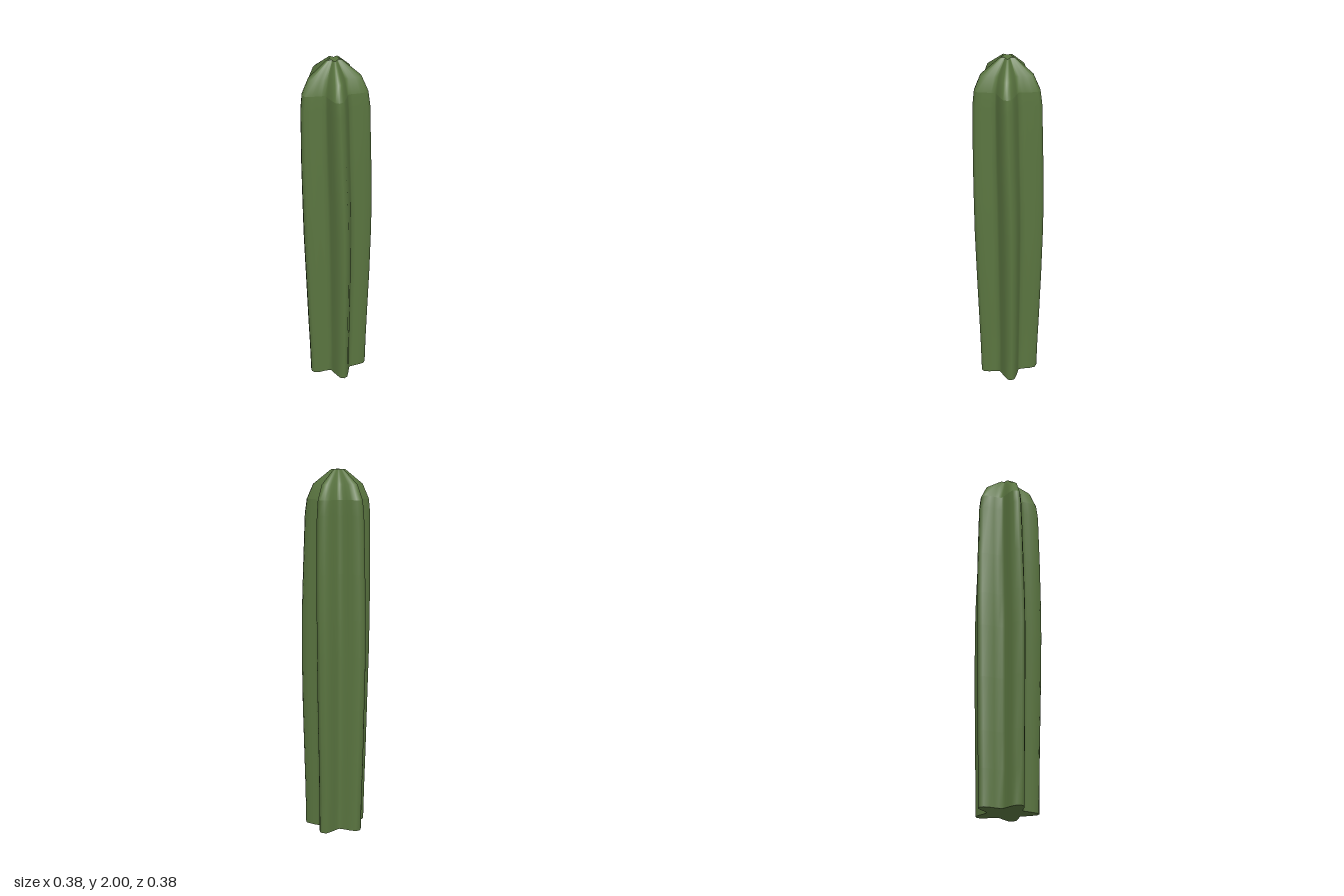
import * as THREE from 'three';

// One rib of the five-ribbed section: [degrees from the rib tip, radius]
const RIB = [[-27, 0.122], [-20, 0.139], [-14, 0.16], [-7, 0.187], [0, 0.195],
  [7, 0.187], [14, 0.16], [20, 0.139], [27, 0.122], [36, 0.11]];
const RIB_LENGTH = [1, 1.04, 1.05, 1.05, 1];

// Rings up the stem: [y, scale, twist in degrees, centre x, centre z]
const STEM = [
  [0, 0.88, -7, 0.002, -0.004], [0.2, 0.9, -7, 0.001, -0.004],
  [0.4, 0.93, -7, 0, -0.004], [0.7, 0.97, -7.5, 0, -0.003],
  [1, 1, -8, -0.002, -0.002], [1.2, 1, -9, -0.003, -0.002],
  [1.45, 0.98, -11, -0.006, -0.001], [1.76, 0.94, -13, -0.009, 0],
  [1.84, 0.89, -13.5, -0.01, 0],
];
const CROWN = [STEM[STEM.length - 1],
  [1.92, 0.71, -14, -0.01, 0], [2, 0.19, -15, -0.011, -0.006]];

// Points of one star-shaped ring, anticlockwise seen from above
function ringPoints([y, scale, twist, cx, cz]) {
  const points = [];
  for (let arm = 0; arm < 5; arm++) {
    for (const [offset, radius] of RIB) {
      const a = THREE.MathUtils.degToRad(arm * 72 + twist + offset);
      const stretch = Math.abs(offset) < 18 ? RIB_LENGTH[arm] : 1.02;
      const r = radius * scale * stretch;
      points.push(new THREE.Vector3(cx + Math.cos(a) * r, y, cz - Math.sin(a) * r));
    }
  }
  return points;
}

function makeGeometry(points, index) {
  const geometry = new THREE.BufferGeometry().setFromPoints(points);
  geometry.setIndex(index);
  geometry.computeVertexNormals();
  return geometry;
}

// Smooth skin through a stack of rings
function loft(rings) {
  const n = RIB.length * 5;
  const index = [];
  for (let k = 0; k < rings.length - 1; k++) {
    for (let i = 0; i < n; i++) {
      const a = k * n + i, b = k * n + (i + 1) % n;
      index.push(a, b, b + n, a, b + n, a + n);
    }
  }
  return makeGeometry(rings.flatMap(ringPoints), index);
}

// Flat star closing a ring, facing up or down
function starFace(ring, up) {
  const n = RIB.length * 5;
  const points = [...ringPoints(ring), new THREE.Vector3(ring[3], ring[0], ring[4])];
  const index = [];
  for (let i = 0; i < n; i++) {
    const j = (i + 1) % n;
    index.push(n, up ? i : j, up ? j : i);
  }
  return makeGeometry(points, index);
}

export function createModel() {
  const group = new THREE.Group();
  group.name = 'ribbedCactus';
  const green = new THREE.MeshStandardMaterial({ color: 0x5a7540 });
  green.name = 'cactus green';

  const add = (name, geometry) => {
    const mesh = new THREE.Mesh(geometry, green);
    mesh.name = name;
    group.add(mesh);
  };
  add('stem', loft(STEM));
  add('crown', loft(CROWN));
  add('crownTip', starFace(CROWN[CROWN.length - 1], true));
  add('stemBase', starFace(STEM[0], false));
  return group;
}
